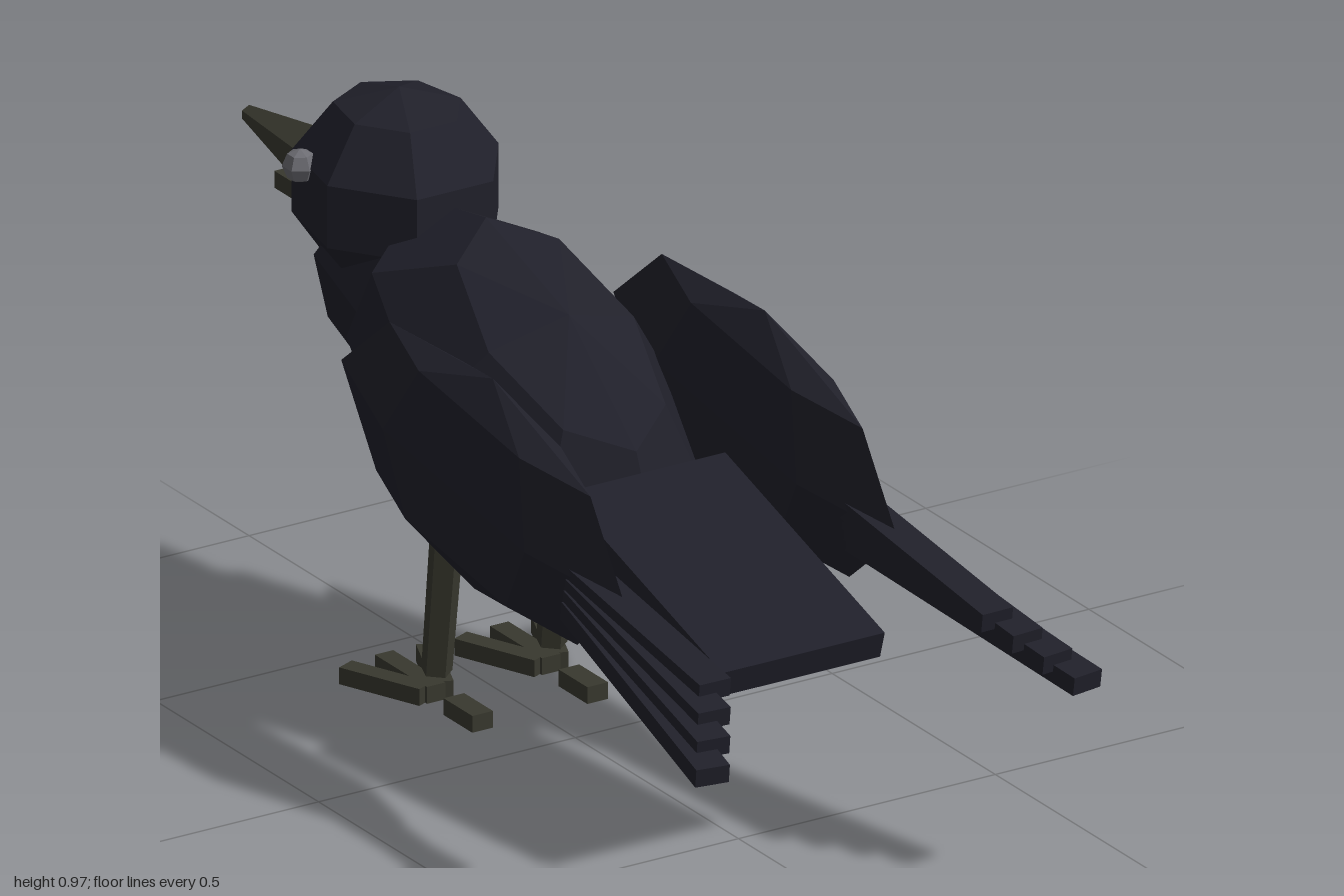
import * as THREE from 'three';

const paint = (name, color) => {
  const m = new THREE.MeshStandardMaterial({ color, flatShading: true });
  m.name = name;
  return m;
};

export function createModel() {
  const plumage = paint('plumage', 0x20202a);
  const horn = paint('horn', 0x38382e);
  const eyeGrey = paint('eyeGrey', 0x6c6c72);
  const bird = new THREE.Group();
  bird.name = 'bird';

  const add = (name, geometry, material, [x, y, z], rotX = 0, rotY = 0) => {
    const mesh = new THREE.Mesh(geometry, material);
    mesh.name = name;
    mesh.position.set(x, y, z);
    mesh.rotation.set(rotX, rotY, 0);
    bird.add(mesh);
    return mesh;
  };
  // Faceted ellipsoid with one vertex column facing -z
  const blob = (segments, rings, sx, sy, sz) =>
    new THREE.SphereGeometry(1, segments, rings).rotateY(-Math.PI / 2).scale(sx, sy, sz);
  const box = (w, h, d) => new THREE.BoxGeometry(w, h, d);
  // Box running from point a to point b
  const bar = (name, w, h, a, b) => {
    const from = new THREE.Vector3(...a), to = new THREE.Vector3(...b);
    const mid = from.clone().add(to).multiplyScalar(0.5);
    add(name, box(w, h, from.distanceTo(to)), plumage, mid.toArray()).lookAt(to);
  };

  // Trunk and head
  add('body', blob(8, 5, 0.24, 0.262, 0.447), plumage, [0, 0.52, -0.145], 0.5);
  add('neck', blob(6, 4, 0.165, 0.18, 0.2), plumage, [0, 0.65, -0.485], 0.4);
  add('head', blob(7, 5, 0.18, 0.18, 0.2), plumage, [0, 0.79, -0.54]);
  add('tail', box(0.316, 0.05, 0.51), plumage, [0, 0.454, 0.448], 0.29);

  // Beak
  const beak = new THREE.CylinderGeometry(0.016, 0.085, 0.35, 6)
    .rotateX(-Math.PI / 2).scale(1, 0.88, 1);
  add('upperBeak', beak, horn, [0, 0.757, -0.825]);
  add('lowerBeak', box(0.06, 0.03, 0.225), horn, [0, 0.69, -0.763]);

  for (const [side, s] of [['left', 1], ['right', -1]]) {
    add(side + 'Eye', blob(6, 4, 0.03, 0.03, 0.03), eyeGrey, [s * 0.155, 0.843, -0.6]);
    add(side + 'Wing', blob(6, 4, 0.067, 0.2, 0.44), plumage, [s * 0.265, 0.565, 0.135], 0.145);

    // Fanned flight feathers, outermost lowest and longest
    for (let i = 0; i < 4; i++) {
      bar(side + 'Feather' + (i + 1), 0.06, 0.033,
        [s * (0.275 - i * 0.003), 0.455 + i * 0.02, 0.44],
        [s * (0.365 - i * 0.03), 0.375 + i * 0.028, 0.995 - i * 0.045]);
    }

    // Leg and foot
    const leg = new THREE.CylinderGeometry(0.03, 0.027, 0.32, 5);
    add(side + 'Leg', leg, horn, [s * 0.112, 0.215, -0.23], 0.12);
    for (const fan of [-1, 0, 1]) {
      add(side + 'Toe', box(0.036, 0.03, 0.16), horn,
        [s * 0.112 + fan * 0.048, 0.016, -0.33], 0, -fan * 0.4);
    }
    add(side + 'BackToe', box(0.04, 0.03, 0.088), horn, [s * 0.112, 0.016, -0.152]);
  }
  return bird;
}
